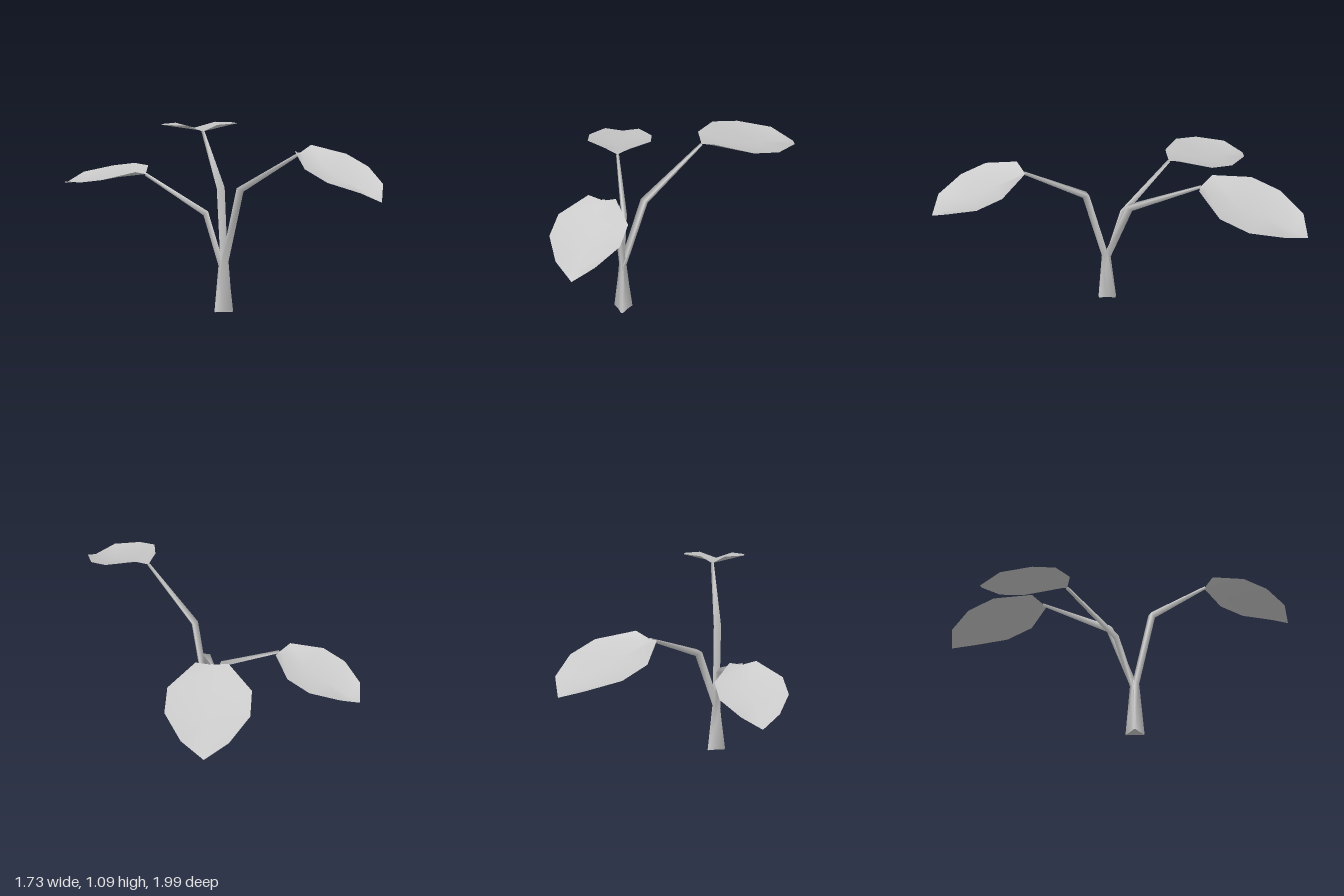
import * as THREE from 'three';

const material = new THREE.MeshStandardMaterial({ color: 0xcccccc, side: THREE.DoubleSide });
const SIDES = 3;

function makeGeometry(positions, indices) {
  const geometry = new THREE.BufferGeometry();
  geometry.setAttribute('position', new THREE.Float32BufferAttribute(positions, 3));
  geometry.setIndex(indices);
  geometry.computeVertexNormals();
  return geometry;
}

// Three-sided tapering stalk through a few points, closed at the foot and tip
function stalk(points, radii, turn) {
  const path = points.map(p => new THREE.Vector3(...p));
  const up = new THREE.Vector3(0, 1, 0);
  const positions = [], indices = [];
  const ring = i => {
    const before = path[Math.max(i - 1, 0)], after = path[Math.min(i + 1, path.length - 1)];
    const direction = i === 0 ? up.clone() : after.clone().sub(before).normalize();
    const q = new THREE.Quaternion().setFromUnitVectors(up, direction);
    for (let s = 0; s < SIDES; s++) {
      const a = turn + (s / SIDES) * Math.PI * 2;
      const v = new THREE.Vector3(Math.sin(a), 0, Math.cos(a)).multiplyScalar(radii[i]);
      positions.push(...v.applyQuaternion(q).add(path[i]).toArray());
    }
  };
  path.forEach((p, i) => ring(i));
  for (let i = 0; i < path.length - 1; i++) {
    for (let s = 0; s < SIDES; s++) {
      const a = i * SIDES + s, b = i * SIDES + (s + 1) % SIDES;
      indices.push(a, b, b + SIDES, a, b + SIDES, a + SIDES);
    }
  }
  // End caps with their own vertices
  const n = path.length * SIDES;
  ring(0);
  ring(path.length - 1);
  indices.push(n, n + 2, n + 1, n + 3, n + 4, n + 5);
  return makeGeometry(positions, indices);
}

// Leaf outline: [fraction along the midrib, half width], both relative to length
const OUTLINE = [[0.045, 0.139], [0.33, 0.351], [0.6, 0.351], [0.88, 0.194]];

// Ten-cornered leaf blade folded upward along its midrib
function blade(base, tip, lift) {
  const start = new THREE.Vector3(...base), along = new THREE.Vector3(...tip).sub(start);
  const across = new THREE.Vector3(-along.z, 0, along.x);
  const positions = [...base], indices = [];
  for (const [t, w] of OUTLINE) {
    for (const side of [-1, 0, 1]) {
      const p = start.clone().addScaledVector(along, t).addScaledVector(across, side * w);
      p.y += Math.abs(side) * lift;
      positions.push(...p.toArray());
    }
  }
  positions.push(...tip);
  const last = 1 + OUTLINE.length * 3;
  indices.push(0, 2, 1, 0, 3, 2);
  for (let i = 1; i + 3 < last; i += 3) {
    for (const k of [i, i + 1]) indices.push(k, k + 1, k + 4, k, k + 4, k + 3);
  }
  indices.push(last - 3, last - 2, last, last - 2, last - 1, last);
  return makeGeometry(positions, indices);
}

const BRANCHES = [
  {
    name: 'front', turn: 0.9, thickness: 1, lift: 0.045,
    points: [[0.055, 0, 0.257], [0.062, 0.32, 0.262], [0.14, 0.785, 0.34], [0.44, 1.055, 0.57]],
    tip: [0.83, 0.885, 0.965],
  },
  {
    name: 'back', turn: Math.PI, thickness: 1.05, lift: 0.04,
    points: [[0.055, 0, 0.257], [0.055, 0.31, 0.253], [0.05, 0.71, 0.1], [-0.018, 0.945, -0.33]],
    tip: [-0.018, 0.79, -1],
  },
  {
    name: 'side', turn: -1.2, thickness: 0.8, lift: 0.036,
    points: [[0.055, 0, 0.257], [0.04, 0.29, 0.255], [-0.045, 0.592, 0.19], [-0.39, 0.797, 0.045]],
    tip: [-0.87, 0.663, -0.25],
  },
];

export function createModel() {
  const plant = new THREE.Group();
  plant.name = 'plant';
  for (const b of BRANCHES) {
    const radii = [0.062, 0.024 * b.thickness, 0.026 * b.thickness, 0.011];
    const stem = new THREE.Mesh(stalk(b.points, radii, b.turn), material);
    stem.name = b.name + 'Stem';
    const leaf = new THREE.Mesh(blade(b.points[3], b.tip, b.lift), material);
    leaf.name = b.name + 'Leaf';
    plant.add(stem, leaf);
  }
  return plant;
}
